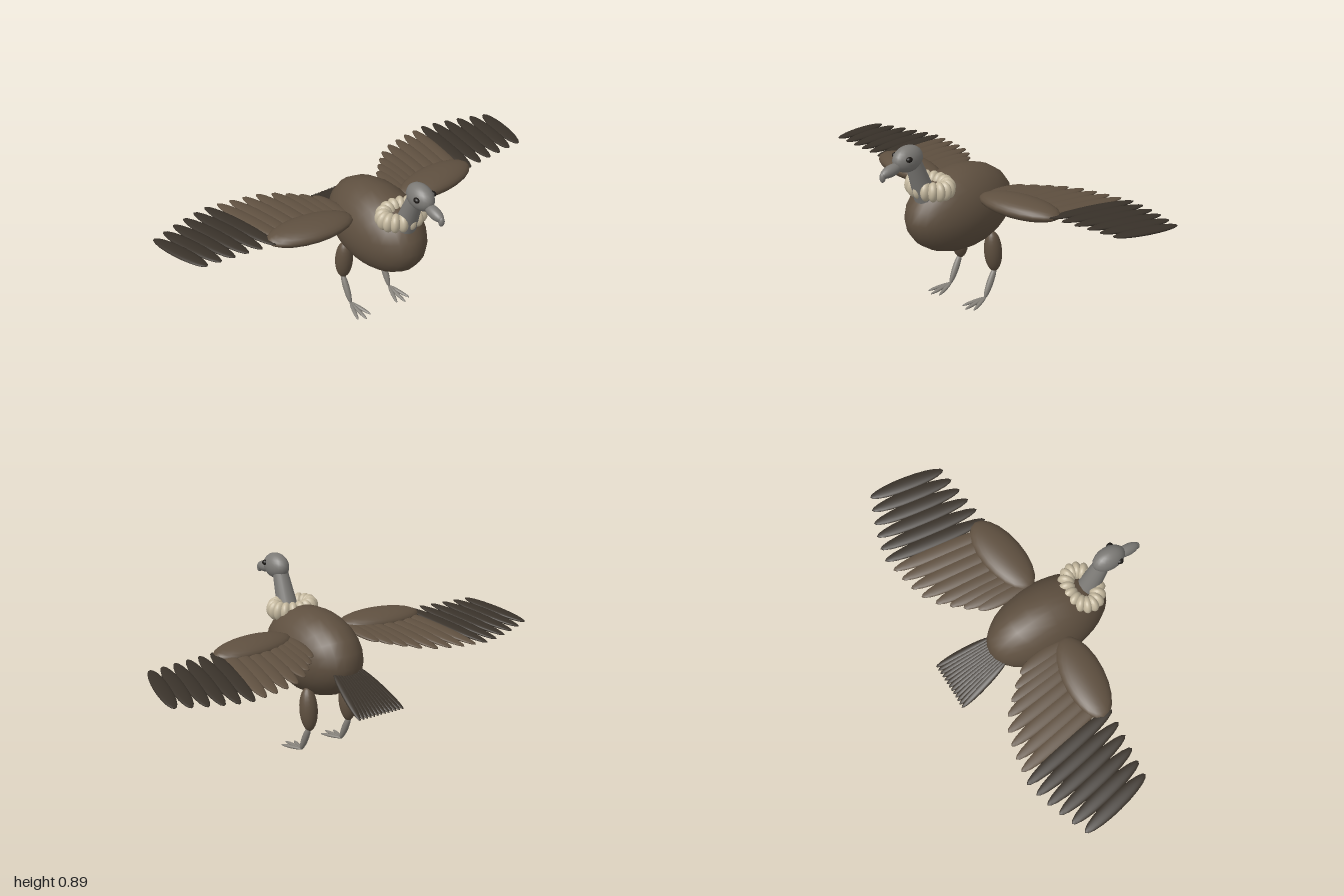
import * as THREE from 'three';

const mat = (name, color) => {
  const m = new THREE.MeshStandardMaterial({ color });
  m.name = name;
  return m;
};

export function createModel() {
  const bird = new THREE.Group();
  bird.name = 'bird';
  const brown = mat('brown plumage', 0x5f5040);
  const dark = mat('dark feathers', 0x39322a);
  const cream = mat('cream ruff', 0xc4b89e);
  const grey = mat('grey skin', 0x7c7a76);
  const legGrey = mat('leg grey', 0x85817a);
  const black = mat('eye black', 0x1c1916);

  const ball = new THREE.SphereGeometry(1, 20, 14);
  const v = (x, y, z) => new THREE.Vector3(x, y, z);

  const group = (name) => {
    const g = new THREE.Group();
    g.name = name;
    bird.add(g);
    return g;
  };

  // Ellipsoid from centre, half sizes and rotation
  const ellipsoid = (parent, name, material, c, r, rot = [0, 0, 0]) => {
    const m = new THREE.Mesh(ball, material);
    m.name = name;
    m.position.set(...c);
    m.scale.set(...r);
    m.rotation.set(...rot);
    parent.add(m);
    return m;
  };

  // Ellipsoid stretched between two points, flat across the "up" direction
  const spindle = (parent, name, material, a, b, width, thick, up = v(0, 1, 0)) => {
    const dir = b.clone().sub(a);
    const half = dir.length() / 2;
    dir.normalize();
    const side = up.clone().cross(dir).normalize();
    const normal = dir.clone().cross(side);
    const m = ellipsoid(parent, name, material, [0, 0, 0], [width, thick, half]);
    m.position.copy(a).add(b).multiplyScalar(0.5);
    m.quaternion.setFromRotationMatrix(new THREE.Matrix4().makeBasis(side, normal, dir));
    return m;
  };

  // Body, with the sphere poles on the sides
  const body = new THREE.Mesh(new THREE.SphereGeometry(1, 20, 16).rotateZ(Math.PI / 2), brown);
  body.name = 'body';
  body.scale.set(0.184, 0.21, 0.32);
  body.position.set(0, 0.495, 0.025);
  bird.add(body);

  // Neck
  const low = v(0, 0.61, 0.25), high = v(0, 0.81, 0.328);
  const neck = new THREE.Mesh(new THREE.CylinderGeometry(0.038, 0.055, low.distanceTo(high), 20), grey);
  neck.name = 'neck';
  neck.position.copy(low).add(high).multiplyScalar(0.5);
  neck.quaternion.setFromUnitVectors(v(0, 1, 0), high.clone().sub(low).normalize());
  bird.add(neck);

  // Ruff: ring of plump tufts
  const ruff = group('ruff');
  const tufts = 16;
  for (let i = 0; i < tufts; i++) {
    const a = (i / tufts) * Math.PI * 2;
    ellipsoid(ruff, 'ruffTuft', cream,
      [Math.cos(a) * 0.094, 0.657, 0.22 + Math.sin(a) * 0.066],
      [0.041, 0.048, 0.026], [0, -a, 0]);
  }

  // Head, beak and eyes
  const head = group('head');
  ellipsoid(head, 'skull', grey, [0, 0.833, 0.362], [0.053, 0.063, 0.084]);
  ellipsoid(head, 'beak', grey, [0, 0.803, 0.466], [0.028, 0.028, 0.064], [0.15, 0, 0]);
  ellipsoid(head, 'beakHook', grey, [0, 0.785, 0.52], [0.015, 0.024, 0.014]);
  for (const s of [-1, 1]) {
    ellipsoid(head, 'eye', black, [s * 0.046, 0.848, 0.395], [0.013, 0.013, 0.017]);
  }

  // Tail fan
  const tail = group('tail');
  const tailCount = 13;
  for (let i = 0; i < tailCount; i++) {
    const t = (i / (tailCount - 1)) * 2 - 1;
    spindle(tail, 'tailFeather', dark,
      v(t * 0.07, 0.477, -0.245), v(t * 0.122, 0.352, -0.533), 0.021, 0.011);
  }

  // Tips of the short feathers, from the body outward: x, z
  const innerTips = [
    [0.19, -0.24], [0.235, -0.295], [0.28, -0.345], [0.33, -0.395],
    [0.395, -0.435], [0.46, -0.455], [0.525, -0.47], [0.588, -0.48],
  ];

  for (const s of [-1, 1]) {
    const sideName = s > 0 ? 'left' : 'right';

    // Wing
    const wing = group(sideName + 'Wing');
    ellipsoid(wing, 'wingArm', brown, [s * 0.364, 0.593, 0], [0.22, 0.048, 0.101], [0, s * 0.12, 0]);
    innerTips.forEach(([x, z], i) => {
      const base = v(s * (x - 0.02 - i * 0.009), 0.598, 0.02);
      const tip = v(s * x, 0.6 + z * 0.092, z);
      spindle(wing, 'innerFeather', brown, base, tip, 0.038, 0.013);
    });
    for (let i = 0; i < 6; i++) {
      const t = i / 5;
      const base = v(s * (0.567 + t * 0.336), 0.6, -0.012 + 0.038 * (1 - t));
      const z = -0.49 + 0.105 * Math.pow(t, 1.4);
      const tip = v(s * (0.652 + t * 0.328), 0.6 + z * 0.092, z);
      spindle(wing, 'outerFeather', dark, base, tip, 0.038, 0.013);
    }

    // Leg and foot
    const leg = group(sideName + 'Leg');
    const x = s * 0.114;
    ellipsoid(leg, 'thigh', brown, [x, 0.252, -0.096], [0.044, 0.11, 0.045], [0.1, 0, 0]);
    spindle(leg, 'shin', legGrey, v(x + s * 0.004, 0.17, -0.113), v(x + s * 0.004, 0.016, -0.034),
      0.018, 0.016, v(1, 0, 0));
    for (const k of [-1, 0, 1]) {
      spindle(leg, 'toe', legGrey, v(x + s * 0.004, 0.021, -0.042),
        v(x + s * 0.004 + k * 0.038, 0.007, k ? 0.085 : 0.105), 0.01, 0.008);
    }
  }

  return bird;
}
